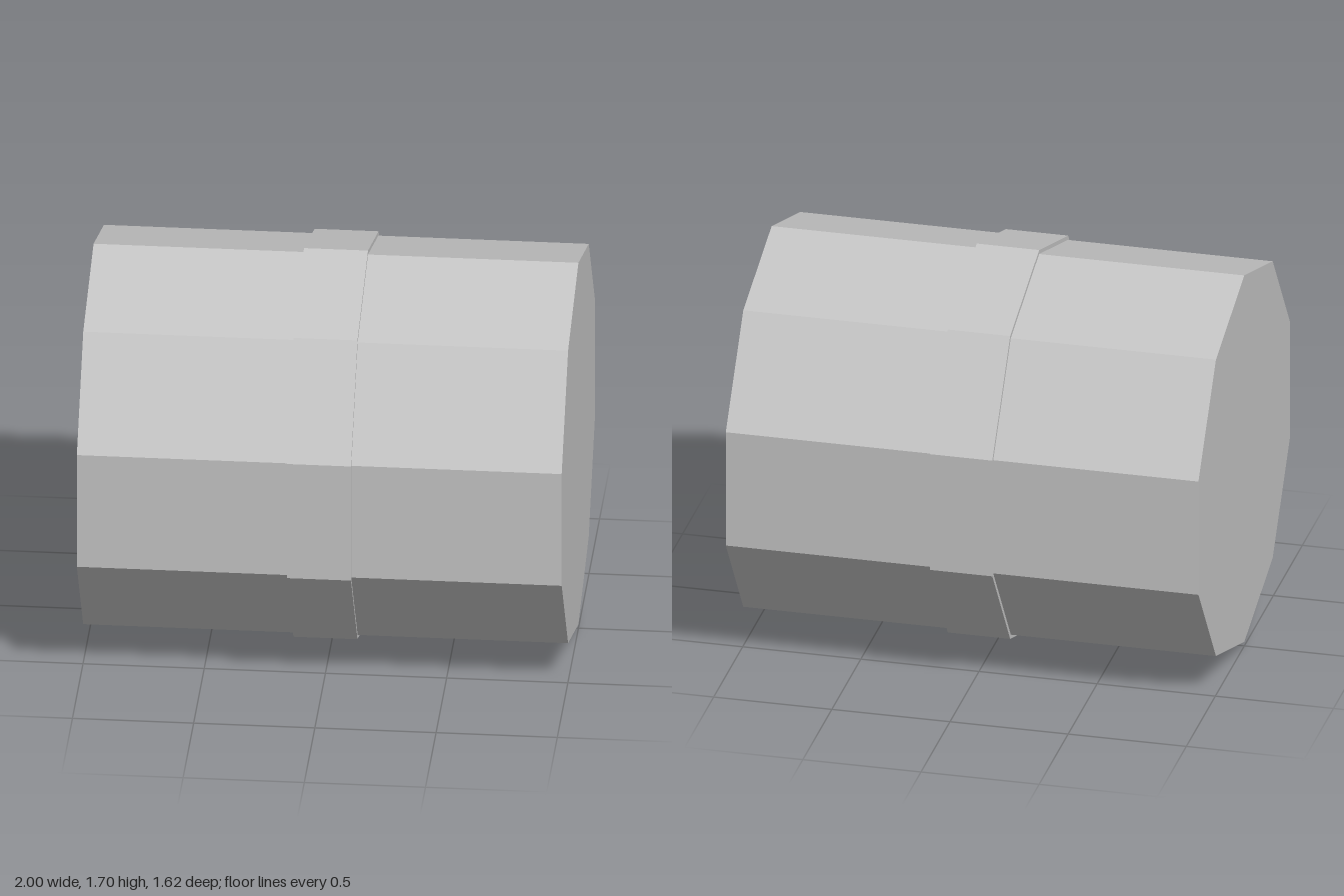
import * as THREE from 'three';

const SIDES = 10;
const CENTER_Y = 0.85;

export function createModel() {
  const model = new THREE.Group();
  model.name = 'bandedDrum';

  const grey = new THREE.MeshStandardMaterial({ color: 0xc4c4c4, flatShading: true });
  grey.name = 'light grey';

  // Ten-sided prism lying along x, with a corner pointing straight up
  function addPrism(name, radius, length) {
    const geometry = new THREE.CylinderGeometry(radius, radius, length, SIDES, 1, false, Math.PI / 2);
    geometry.rotateZ(Math.PI / 2);
    const mesh = new THREE.Mesh(geometry, grey);
    mesh.name = name;
    mesh.position.y = CENTER_Y;
    model.add(mesh);
  }

  // Main body from end to end
  addPrism('body', 0.832, 2);
  // Slightly raised band around the middle
  addPrism('middleBand', 0.85, 0.264);

  return model;
}
